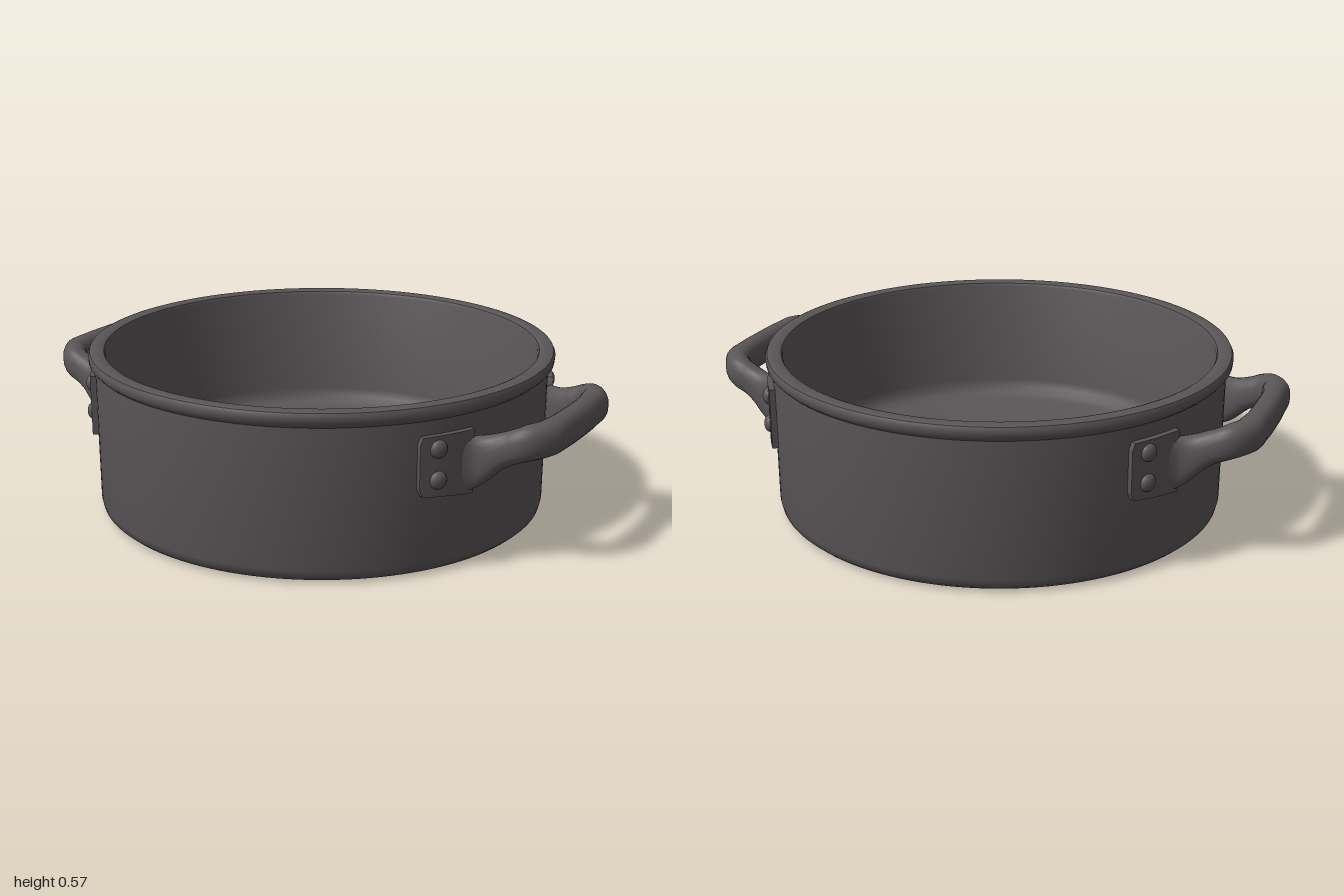
import * as THREE from 'three';
import { toCreasedNormals } from 'three/addons/utils/BufferGeometryUtils.js';

const V = (x, y, z) => new THREE.Vector3(x, y, z);

// Pan wall, rolled rim, inner floor and base turned from one profile
function panGeometry() {
  const profile = [
    [0, 0], [0.74, 0], [0.768, 0.006], [0.784, 0.02], [0.79, 0.045],
    [0.793, 0.52], [0.805, 0.53], [0.813, 0.54], [0.815, 0.56], [0.809, 0.572], [0.8, 0.575],
    [0.77, 0.575], [0.76, 0.571], [0.755, 0.56],
    [0.752, 0.17], [0.745, 0.14], [0.728, 0.118], [0.69, 0.108], [0, 0.108],
  ].map(([x, y]) => new THREE.Vector2(x, y));
  return toCreasedNormals(new THREE.LatheGeometry(profile, 128), 0.7);
}

// Sweep of an oval whose width and height change along the path
function handleGeometry() {
  // x, y, z, half thickness, half height
  const half = [
    [0.708, 0.357, 0.361, 0.014, 0.092],
    [0.738, 0.357, 0.318, 0.028, 0.09],
    [0.785, 0.375, 0.29, 0.04, 0.076],
    [0.84, 0.408, 0.276, 0.042, 0.06],
    [0.895, 0.432, 0.264, 0.044, 0.058],
    [0.938, 0.44, 0.215, 0.045, 0.058],
    [0.953, 0.441, 0.12, 0.045, 0.058],
  ];
  const mirrored = half.map(([x, y, z, a, b]) => [x, y, -z, a, b]).reverse();
  const stations = [...half, [0.956, 0.441, 0, 0.045, 0.058], ...mirrored];
  const path = new THREE.CatmullRomCurve3(stations.map(s => V(s[0], s[1], s[2])));
  const sizes = new THREE.CatmullRomCurve3(stations.map(s => V(s[3], s[4], 0)));
  const rings = 84, sides = 20, positions = [], index = [];
  const round = c => Math.sign(c) * Math.abs(c) ** 0.85;
  for (let i = 0; i <= rings; i++) {
    const p = path.getPoint(i / rings), size = sizes.getPoint(i / rings);
    const t = path.getTangent(i / rings).setY(0).normalize();
    const n = V(0, 1, 0).cross(t);
    for (let j = 0; j < sides; j++) {
      const ang = j / sides * Math.PI * 2;
      const q = p.clone().addScaledVector(n, size.x * round(Math.cos(ang)));
      q.y += size.y * round(Math.sin(ang));
      positions.push(q.x, q.y, q.z);
      if (i < rings) {
        const a = i * sides + j, b = i * sides + (j + 1) % sides;
        index.push(a, b, a + sides, b, b + sides, a + sides);
      }
    }
  }
  const geo = new THREE.BufferGeometry();
  geo.setAttribute('position', new THREE.Float32BufferAttribute(positions, 3));
  geo.setIndex(index);
  geo.computeVertexNormals();
  return geo;
}

// Mounting plate bent around the wall, with softened corners
function plateGeometry() {
  const from = 0.4, to = 0.65, height = 0.195;
  const geo = new THREE.BoxGeometry(0.035, height, 1, 1, 8, 16);
  const pos = geo.attributes.position;
  for (let i = 0; i < pos.count; i++) {
    const x = pos.getX(i), y = pos.getY(i), s = pos.getZ(i) + 0.5;
    const edge = Math.abs(y) > height * 0.49 ? 0.012 : 0;
    const u = s > 0.99 ? to - edge : from + (to - from) * s;
    const r = 0.795 + x;
    const lower = y < 0 ? (1 - s) * 0.02 * (-2 * y / height) : 0;
    pos.setXYZ(i, r * Math.cos(u), 0.375 + y - lower, r * Math.sin(u));
  }
  geo.computeVertexNormals();
  return geo;
}

export function createModel() {
  const model = new THREE.Group();
  model.name = 'pan';
  const iron = new THREE.MeshStandardMaterial({ color: 0x5a5557 });
  iron.name = 'dark iron';
  const add = (parent, geo, name) => {
    const mesh = new THREE.Mesh(geo, iron);
    mesh.name = name;
    parent.add(mesh);
    return mesh;
  };

  add(model, panGeometry(), 'panBody');

  const grip = handleGeometry(), plate = plateGeometry();
  // Second plate is the first one turned about the x axis side of the wall
  const turn = 0.4 + 0.65;
  const rivet = new THREE.SphereGeometry(0.03, 20, 14);
  for (const side of ['left', 'right']) {
    const handle = new THREE.Group();
    handle.name = side + 'Handle';
    handle.rotation.y = side === 'left' ? 0 : Math.PI;
    add(handle, grip, 'grip');
    add(handle, plate, 'frontPlate');
    add(handle, plate, 'backPlate').rotation.y = turn;
    for (const dir of [1, -1]) {
      for (const y of [0.43, 0.327]) {
        const ang = dir * 0.57;
        const m = add(handle, rivet, 'rivet');
        m.position.set(0.812 * Math.cos(ang), y, 0.812 * Math.sin(ang));
        m.rotation.y = -ang;
        m.scale.x = 0.65;
      }
    }
    model.add(handle);
  }
  return model;
}
